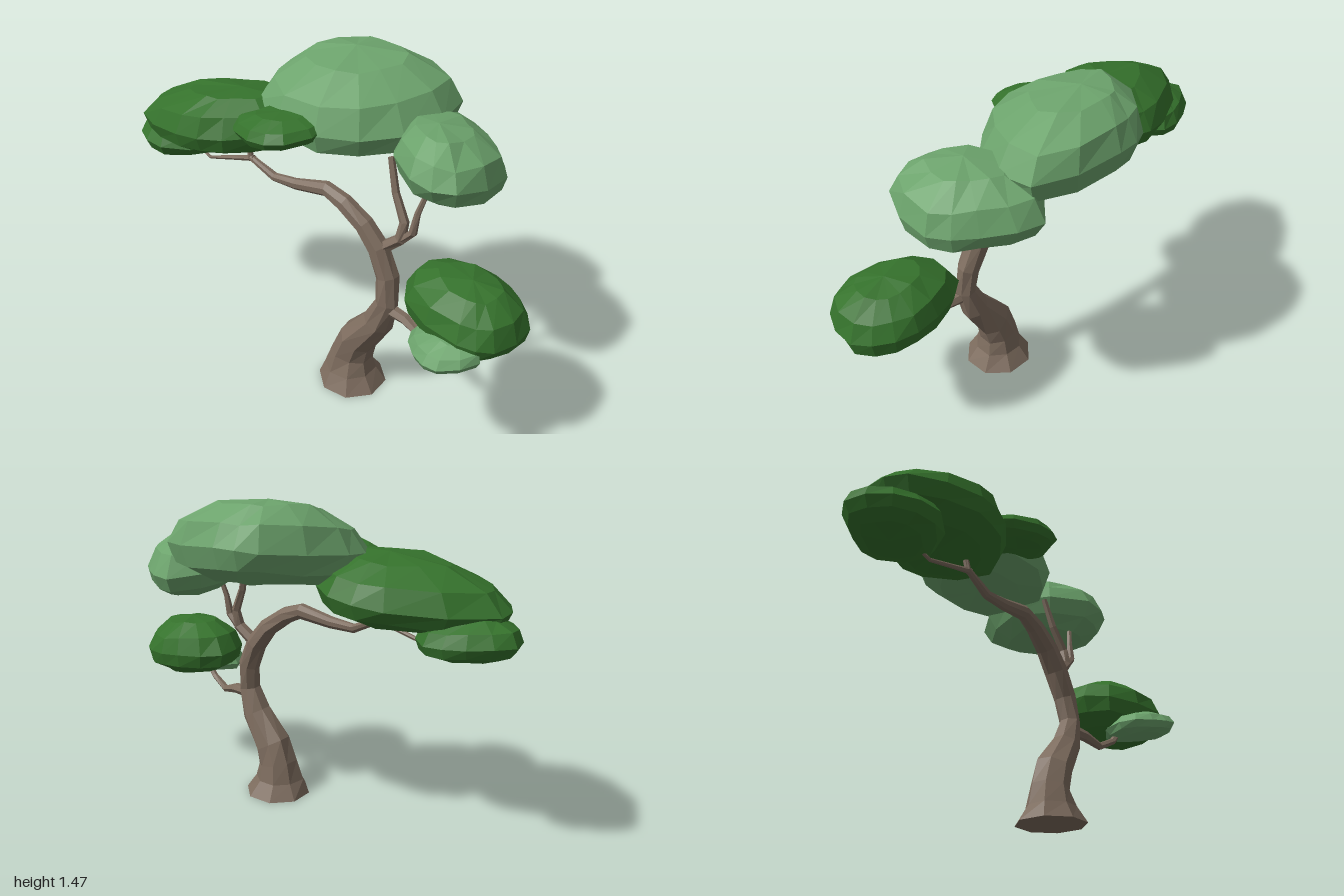
import * as THREE from 'three';

const bark = new THREE.MeshStandardMaterial({ color: 0x7d6c5e });
bark.name = 'bark';
const darkLeaf = new THREE.MeshStandardMaterial({ color: 0x35722c });
darkLeaf.name = 'darkLeaf';
const lightLeaf = new THREE.MeshStandardMaterial({ color: 0x6ca36c });
lightLeaf.name = 'lightLeaf';

// Repeatable offset in -1..1 from three numbers
function wobble(a, b, c) {
  const s = Math.sin(a * 12.99 + b * 78.23 + c * 37.72) * 43758.5453;
  return (s - Math.floor(s)) * 2 - 1;
}

// Faceted closed skin over stacked loops, fanned to a bottom and a top point
function skin(name, material, loops, bottom, top) {
  const positions = [];
  const tri = (a, b, c) => positions.push(...a.toArray(), ...b.toArray(), ...c.toArray());
  const last = loops.length - 1;
  const sides = loops[0].length;
  for (let j = 0; j < sides; j++) {
    const k = (j + 1) % sides;
    for (let i = 0; i < last; i++) {
      tri(loops[i][j], loops[i + 1][j], loops[i][k]);
      tri(loops[i][k], loops[i + 1][j], loops[i + 1][k]);
    }
    tri(bottom, loops[0][j], loops[0][k]);
    tri(top, loops[last][k], loops[last][j]);
  }
  const g = new THREE.BufferGeometry();
  g.setAttribute('position', new THREE.Float32BufferAttribute(positions, 3));
  g.computeVertexNormals();
  const mesh = new THREE.Mesh(g, material);
  mesh.name = name;
  return mesh;
}

// Tapering limb through [x, y, z, radius] rings
function limb(name, rings, sides, startUp = false) {
  const pts = rings.map(r => new THREE.Vector3(r[0], r[1], r[2]));
  const forward = new THREE.Vector3(0, 0, 1);
  const loops = pts.map((p, i) => {
    const t = pts[Math.min(i + 1, pts.length - 1)].clone().sub(pts[Math.max(i - 1, 0)]).normalize();
    if (startUp && i === 0) t.set(0, 1, 0);
    const side = new THREE.Vector3().crossVectors(t, forward).normalize();
    const front = new THREE.Vector3().crossVectors(side, t);
    return Array.from({ length: sides }, (_, j) => {
      const a = ((j + 0.5) / sides) * Math.PI * 2;
      const r = rings[i][3] * (i ? 1 + 0.1 * wobble(i, j, sides) : 1);
      return p.clone().addScaledVector(side, Math.cos(a) * r).addScaledVector(front, Math.sin(a) * r);
    });
  });
  return skin(name, bark, loops, pts[0], pts[pts.length - 1]);
}

// Dome rings for a leaf pad: [share of outline, share of height]
const dome = [[0.6, 0.03], [0.9, 0.19], [1, 0.43], [0.87, 0.72], [0.5, 0.94]];

// Leaf pad: a closed curve through [x, z] points, swept up the dome to a peak and tilted in x and z
function leafPad(name, material, { plan, low, high, peak, tilt, sides = 12 }) {
  const curve = new THREE.CatmullRomCurve3(plan.map(([x, z]) => new THREE.Vector3(x, 0, z)), true);
  const outline = curve.getPoints(sides).slice(0, sides);
  const mid = outline.reduce((sum, p) => sum.add(p), new THREE.Vector3()).divideScalar(sides);
  const place = (x, h, z) =>
    new THREE.Vector3(x, h * (high - low) + tilt[0] * (x - mid.x) + tilt[1] * (z - mid.z), z);
  const loops = dome.map(([r, h], i) => outline.map((p, j) => {
    const s = r === 1 ? 1 : r * (1 + 0.05 * wobble(i, j, sides));
    const shift = h > 0.43 ? 1 - r : 0;
    return place(mid.x + (p.x - mid.x) * s + (peak[0] - mid.x) * shift, h + 0.025 * wobble(j, i, sides),
      mid.z + (p.z - mid.z) * s + (peak[1] - mid.z) * shift);
  }));
  const bottom = place(mid.x, 0, mid.z);
  const top = place(peak[0], 1, peak[1]);

  // Settle the tilted pad between its low and high levels
  const all = [...loops.flat(), bottom, top];
  const ys = all.map(p => p.y);
  const lo = Math.min(...ys), hi = Math.max(...ys);
  all.forEach(p => { p.y = low + (p.y - lo) / (hi - lo) * (high - low); });
  return skin(name, material, loops, bottom, top);
}

export function createModel() {
  const tree = new THREE.Group();
  tree.name = 'bonsaiTree';

  // Leaning trunk that arches over to the right
  tree.add(limb('trunk', [
    [0.205, 0, 0.118, 0.156], [0.2, 0.07, 0.118, 0.115], [0.205, 0.15, 0.118, 0.092],
    [0.235, 0.24, 0.12, 0.084], [0.335, 0.38, 0.122, 0.07], [0.38, 0.5, 0.122, 0.05],
    [0.365, 0.62, 0.11, 0.05], [0.312, 0.74, 0.1, 0.05], [0.24, 0.83, 0.1, 0.047],
    [0.14, 0.9, 0.1, 0.04], [0.05, 0.935, 0.1, 0.034], [-0.11, 0.91, 0.1, 0.026],
    [-0.23, 0.905, 0.1, 0.021], [-0.36, 0.965, 0.1, 0.015], [-0.37, 1.04, 0.09, 0.012],
  ], 8, true));

  // Side branches
  tree.add(
    limb('longTwig', [[-0.34, 0.965, 0.1, 0.014], [-0.45, 0.935, 0.1, 0.01], [-0.6, 0.893, 0.1, 0.008],
      [-0.7, 0.93, 0.09, 0.006]], 6),
    limb('upperBranch', [[0.31, 0.73, 0.1, 0.03], [0.41, 0.81, 0.09, 0.026], [0.417, 0.89, 0.08, 0.022],
      [0.36, 1.0, 0.06, 0.018], [0.32, 1.14, 0.04, 0.014]], 6),
    limb('upperTwig', [[0.405, 0.8, 0.09, 0.02], [0.465, 0.86, 0.09, 0.018], [0.475, 0.95, 0.08, 0.014],
      [0.51, 1.07, 0.06, 0.011]], 6),
    limb('lowerBranch', [[0.37, 0.47, 0.12, 0.03], [0.48, 0.463, 0.14, 0.024], [0.57, 0.435, 0.165, 0.019],
      [0.66, 0.48, 0.185, 0.016], [0.73, 0.56, 0.2, 0.012]], 6),
  );

  // Leaf pads
  tree.add(
    leafPad('crownPad', lightLeaf, {
      plan: [[-0.33, -0.1], [-0.12, -0.41], [0.07, -0.455], [0.43, -0.34], [0.36, 0.01], [0.06, 0.2], [-0.31, 0.09]],
      low: 1.09, high: 1.47, peak: [0, -0.19], tilt: [-0.04, -0.14], sides: 14,
    }),
    leafPad('leftShoulderPad', lightLeaf, {
      plan: [[0.4, -0.385], [0.62, -0.27], [0.75, -0.12], [0.68, 0.17], [0.49, 0.19], [0.25, -0.12]],
      low: 1.01, high: 1.3, peak: [0.48, -0.04], tilt: [-0.08, 0.06],
    }),
    leafPad('rightPad', darkLeaf, {
      plan: [[-0.92, 0.05], [-0.55, -0.2], [-0.3, -0.21], [-0.1, 0.04], [-0.35, 0.29], [-0.57, 0.335], [-0.88, 0.22]],
      low: 0.98, high: 1.27, peak: [-0.42, 0.06], tilt: [0.08, 0.03], sides: 14,
    }),
    leafPad('frontPad', darkLeaf, {
      plan: [[-0.36, 0.2], [-0.2, 0], [0.08, 0.11], [0, 0.32], [-0.17, 0.34]],
      low: 1.13, high: 1.28, peak: [-0.12, 0.18], tilt: [0.13, 0], sides: 10,
    }),
    leafPad('rightTipPad', darkLeaf, {
      plan: [[-1, 0.02], [-0.85, -0.1], [-0.68, -0.12], [-0.56, 0.09], [-0.74, 0.27], [-0.93, 0.2]],
      low: 0.89, high: 1.07, peak: [-0.8, 0.06], tilt: [-0.05, 0],
    }),
    leafPad('leftLowPad', darkLeaf, {
      plan: [[1, 0.09], [0.95, 0.3], [0.82, 0.36], [0.53, 0.25], [0.48, 0.04], [0.68, -0.06], [0.88, -0.04]],
      low: 0.52, high: 0.79, peak: [0.77, 0.15], tilt: [-0.08, 0], sides: 14,
    }),
    leafPad('leftLowFrontPad', lightLeaf, {
      plan: [[0.58, 0.27], [0.74, 0.09], [0.91, 0.33], [0.79, 0.45], [0.66, 0.4]],
      low: 0.49, high: 0.63, peak: [0.78, 0.27], tilt: [0.12, 0], sides: 10,
    }),
  );

  return tree;
}
